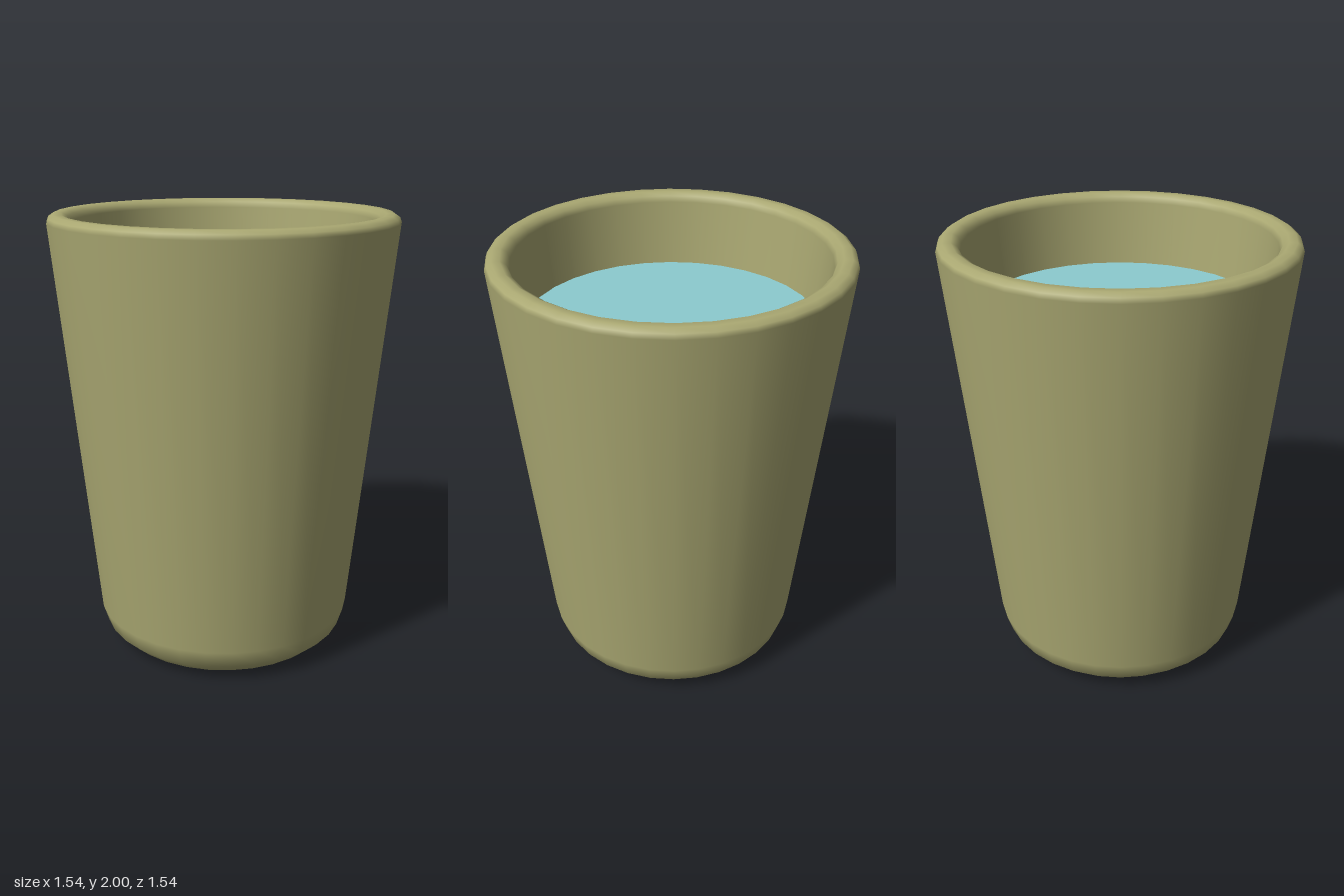
import * as THREE from 'three';

const SIDES = 32;

export function createModel() {
  const model = new THREE.Group();
  model.name = 'cupOfWater';

  // Cup: one closed profile, up the outside, over the bevelled rim, down the inside
  const profile = [
    [0, 0], [0.42, 0], [0.51, 0.025], [0.57, 0.08], [0.595, 0.16],
    [0.77, 1.965], [0.762, 1.985], [0.74, 2], [0.705, 2], [0.68, 1.985], [0.67, 1.96],
    [0.5, 0.2], [0.44, 0.12], [0, 0.12],
  ].map(([r, y]) => new THREE.Vector2(r, y));
  const cup = new THREE.Mesh(
    new THREE.LatheGeometry(profile, SIDES),
    new THREE.MeshStandardMaterial({ color: 0xaaa872 })
  );
  cup.name = 'cup';
  model.add(cup);

  // Water surface, sitting a little below the rim and meeting the inner wall
  const water = new THREE.Mesh(
    new THREE.CircleGeometry(0.643, SIDES).rotateX(-Math.PI / 2),
    new THREE.MeshStandardMaterial({ color: 0x8ccbcf, side: THREE.DoubleSide })
  );
  water.name = 'water';
  water.position.y = 1.67;
  model.add(water);

  return model;
}
